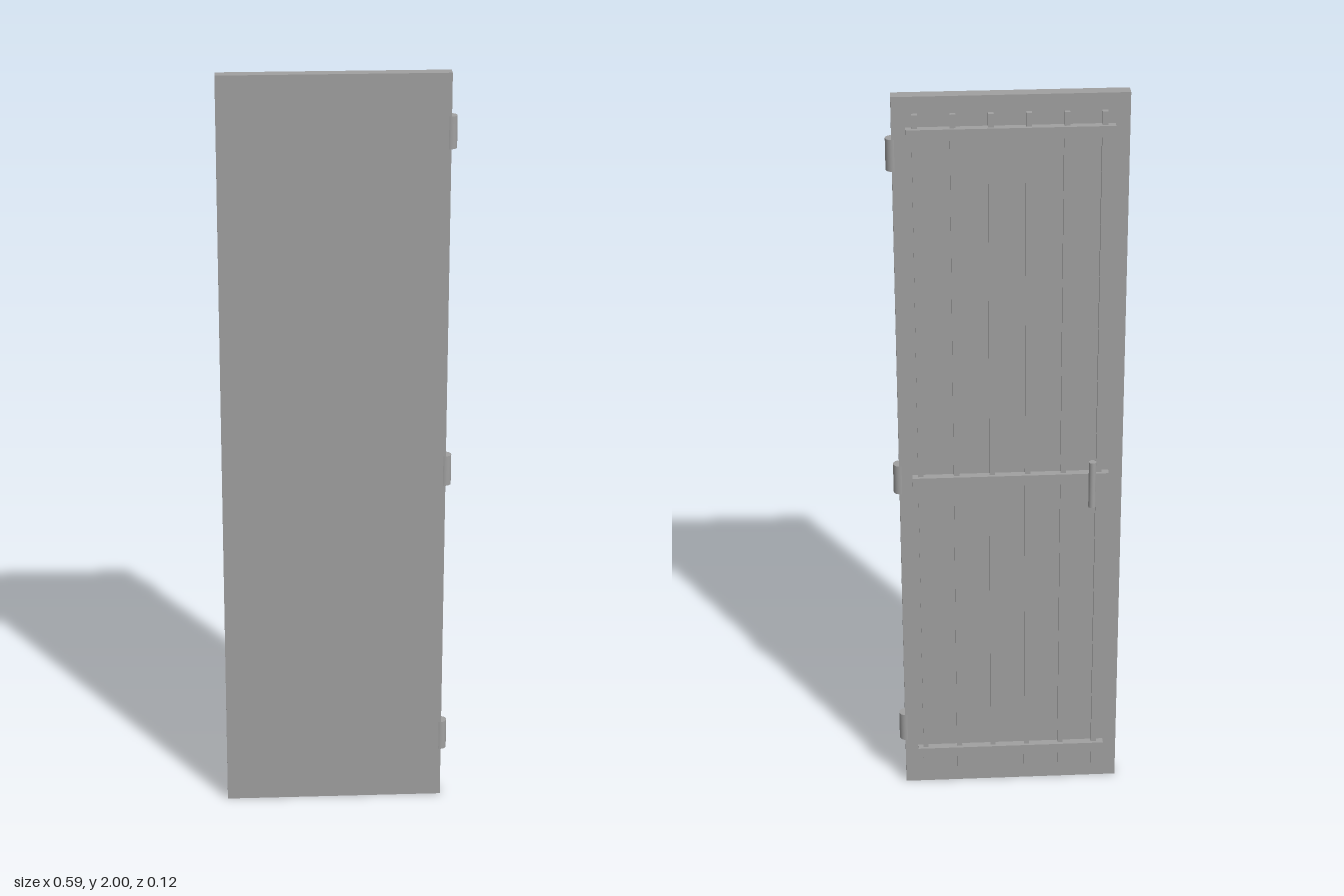
import * as THREE from 'three';

export function createModel() {
  const model = new THREE.Group();
  model.name = 'barredDoor';
  const metal = new THREE.MeshStandardMaterial({ color: 0xa0a0a0 });
  metal.name = 'grey metal';

  // The leaf stands slightly ajar, so every part hangs in a turned group
  const door = new THREE.Group();
  door.name = 'door';
  door.position.set(-0.008, 0, 0.014);
  door.rotation.y = -0.0976;
  model.add(door);

  const add = (name, geometry, x, y, z) => {
    const mesh = new THREE.Mesh(geometry, metal);
    mesh.name = name;
    mesh.position.set(x, y, z);
    door.add(mesh);
  };

  // Door leaf
  const thick = 0.032;
  const back = -thick / 2;
  add('leaf', new THREE.BoxGeometry(0.576, 2, thick), 0, 1, 0);

  // Vertical rods on the back
  for (let i = 0; i < 6; i++) {
    add('verticalRod', new THREE.BoxGeometry(0.014, 1.912, 0.012), 0.003 + (i - 2.5) * 0.0918, 1.001, back - 0.006);
  }

  // Horizontal crossbars over the rods
  for (const y of [0.106, 0.953, 1.908]) {
    add('crossbar', new THREE.BoxGeometry(0.506, 0.029, 0.02), 0.001, y, back - 0.01);
  }

  // Upright pull handle
  add('handle', new THREE.CylinderGeometry(0.0095, 0.0095, 0.132, 24), -0.2085, 0.942, -0.0465);

  // Hinge barrels along the left edge
  for (const y of [0.179, 0.953, 1.85]) {
    add('hinge', new THREE.CylinderGeometry(0.0168, 0.0168, 0.082, 24), 0.2865, y, 0);
  }
  return model;
}
